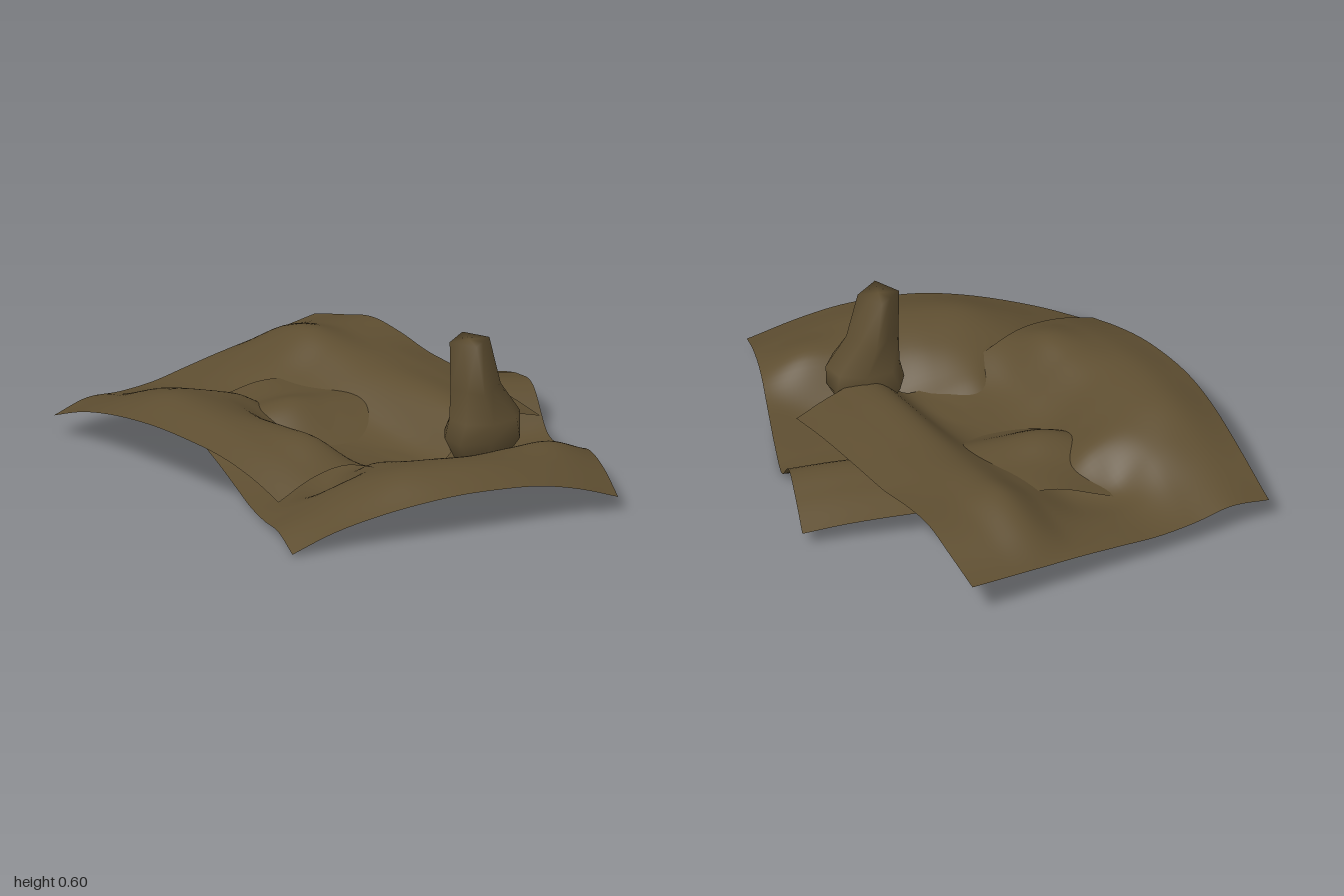
import * as THREE from 'three';
import { mergeVertices } from 'three/addons/utils/BufferGeometryUtils.js';

// Catmull-Rom blend of four values
const blend = (a, b, c, d, t) =>
  b + 0.5 * t * (c - a + t * (2 * a - 5 * b + 4 * c - d + t * (3 * (b - c) + d - a)));

// Smooth value along an evenly spaced row, t from 0 to 1
function sample(row, t) {
  const n = row.length - 1;
  const i = Math.min(Math.floor(t * n), n - 1);
  const before = i > 0 ? row[i - 1] : 2 * row[0] - row[1];
  const after = i + 2 <= n ? row[i + 2] : 2 * row[n] - row[n - 1];
  return blend(before, row[i], row[i + 1], after, t * n - i);
}

// Smooth surface from a rule (u, v) -> [x, y, z]
function surface(nu, nv, rule) {
  const pos = [], index = [];
  for (let j = 0; j <= nv; j++)
    for (let i = 0; i <= nu; i++) pos.push(...rule(i / nu, j / nv));
  for (let j = 0; j < nv; j++)
    for (let i = 0; i < nu; i++) {
      const a = j * (nu + 1) + i, b = a + 1, c = a + nu + 1, d = c + 1;
      index.push(a, c, b, b, c, d);
    }
  const geo = new THREE.BufferGeometry();
  geo.setAttribute('position', new THREE.Float32BufferAttribute(pos, 3));
  geo.setIndex(index);
  const joined = mergeVertices(geo);
  joined.computeVertexNormals();
  return joined;
}

// Ground heights, back row to front row, each from -x to +x
const heights = [
  [0.075, 0.125, 0.17, 0.16, 0.13, 0.12, 0.11, 0.095, 0.07],
  [0.065, 0.14, 0.175, 0.175, 0.17, 0.16, 0.155, 0.145, 0.125],
  [0.055, 0.16, 0.21, 0.19, 0.17, 0.165, 0.165, 0.16, 0.145],
  [0.045, 0.08, 0.11, 0.1, 0.08, 0.05, 0.025, 0.01, 0.01],
  [0.03, 0.04, 0.03, 0.045, 0.025, 0.008, 0.004, 0.006, 0.025],
  [0.015, 0.03, 0.035, 0.13, 0.1, 0.05, 0.045, 0.05, 0.08],
  [0.02, 0.075, 0.145, 0.19, 0.195, 0.185, 0.195, 0.2, 0.135],
  [0.04, 0.1, 0.17, 0.225, 0.235, 0.23, 0.21, 0.18, 0.125],
  [0.01, 0.08, 0.13, 0.165, 0.185, 0.185, 0.17, 0.13, 0.07],
];

export function createModel() {
  const model = new THREE.Group();
  const earth = new THREE.MeshStandardMaterial({ color: 0x5e4e31, side: THREE.DoubleSide });
  earth.name = 'earth brown';
  const add = (name, geo) => {
    const mesh = new THREE.Mesh(geo, earth);
    mesh.name = name;
    model.add(mesh);
    return mesh;
  };

  // Square of hilly ground with a slightly bulging front edge
  const size = 1.364;
  const ground = surface(64, 64, (u, v) => [
    size * u,
    Math.max(0, sample(heights.map((row) => sample(row, u)), v)),
    size * v + 0.04 * v ** 4 * Math.sin(Math.PI * u) ** 2,
  ]);
  add('lowerGround', ground).position.set(-0.44, 0, -0.4);

  // The same ground again, raised and turned
  const upper = add('upperGround', ground);
  upper.position.set(0.34, 0.085, -1);
  upper.rotation.y = -1.196;

  // Stump: rings of [y, centre x, centre z, radius x, radius z, squareness]
  const rings = [
    [0.6, 0.482, 0.445, 0, 0, 0.5],
    [0.6, 0.482, 0.445, 0.083, 0.085, 0.5],
    [0.4, 0.505, 0.452, 0.105, 0.11, 0.5],
    [0.27, 0.545, 0.445, 0.148, 0.115, 0.72],
    [0.19, 0.535, 0.445, 0.157, 0.115, 0.8],
    [0.08, 0.53, 0.44, 0.1, 0.08, 0.7],
    [0.06, 0.53, 0.44, 0, 0, 0.7],
  ];
  add('stump', surface(8, rings.length - 1, (u, v) => {
    const [y, cx, cz, rx, rz, square] = rings[Math.round(v * (rings.length - 1))];
    const side = Math.round(u * 8), a = (side * Math.PI) / 4;
    const reach = side % 2 ? square * Math.SQRT2 : 1;
    return [cx + rx * reach * Math.sin(a), y, cz + rz * reach * Math.cos(a)];
  }));

  return model;
}
